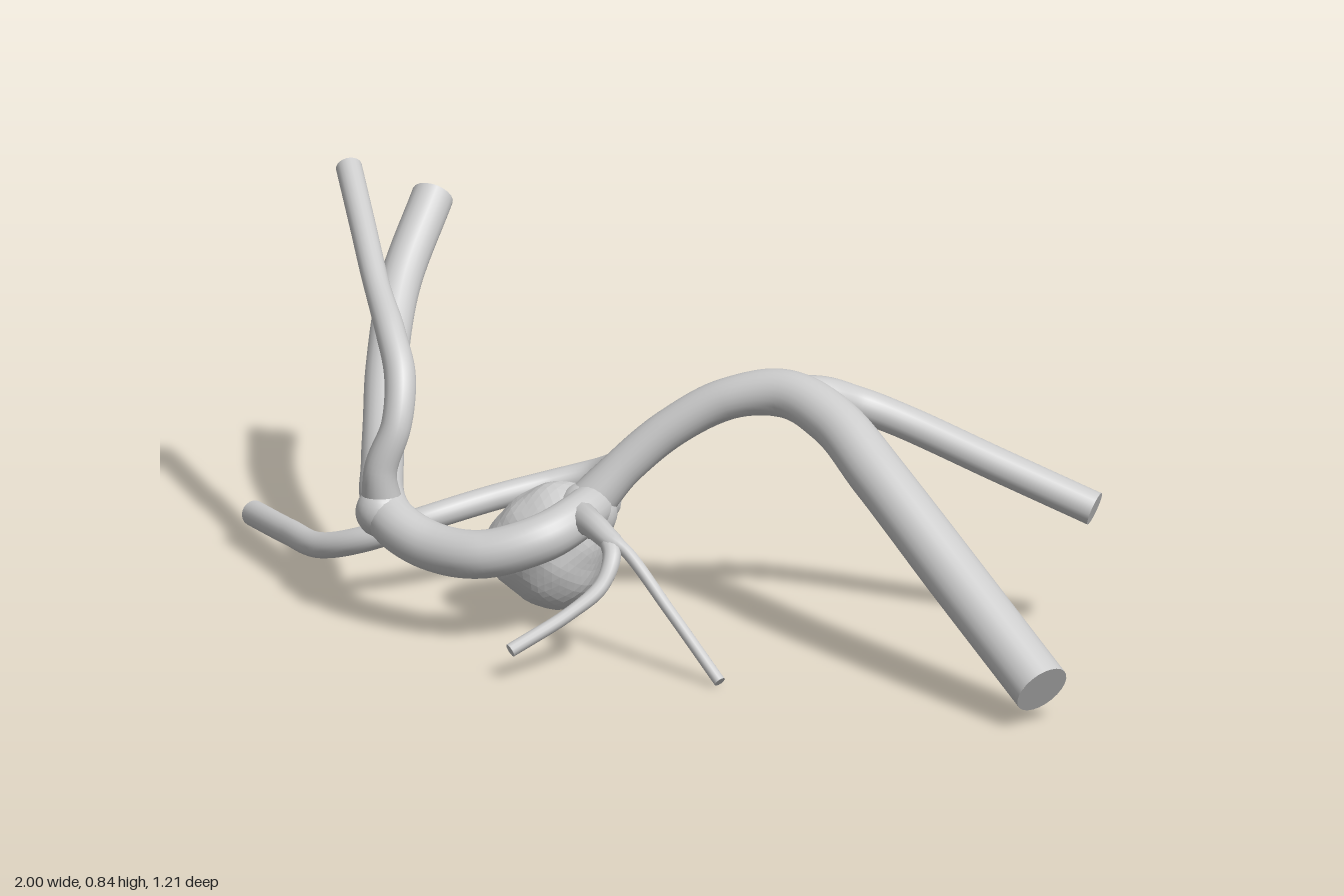
import * as THREE from 'three';
import { mergeGeometries } from 'three/addons/utils/BufferGeometryUtils.js';

const material = new THREE.MeshStandardMaterial({ color: 0xcccccc });
const faceted = new THREE.MeshStandardMaterial({ color: 0xcccccc, flatShading: true });

// Tapering vessel through points [x, y, z, radius], closed by flat end discs
function vessel(name, points, sides = 20) {
  const curve = new THREE.CatmullRomCurve3(points.map(p => new THREE.Vector3(p[0], p[1], p[2])), false, 'centripetal');
  const steps = points.length * 10, last = points.length - 1;
  const radiusAt = u => {
    const t = curve.getUtoTmapping(u) * last, i = Math.min(Math.floor(t), last - 1);
    return THREE.MathUtils.lerp(points[i][3], points[i + 1][3], THREE.MathUtils.smoothstep(t - i, 0, 1));
  };
  const tube = new THREE.TubeGeometry(curve, steps, 1, sides);
  const pos = tube.attributes.position, v = new THREE.Vector3();
  for (let i = 0; i <= steps; i++) {
    const centre = curve.getPointAt(i / steps), r = radiusAt(i / steps);
    for (let j = 0; j <= sides; j++) {
      const k = i * (sides + 1) + j;
      v.fromBufferAttribute(pos, k).sub(centre).multiplyScalar(r).add(centre);
      pos.setXYZ(k, v.x, v.y, v.z);
    }
  }
  const caps = [0, 1].map(u => {
    const cap = new THREE.CircleGeometry(radiusAt(u), sides);
    const outward = curve.getTangentAt(u).multiplyScalar(u ? 1 : -1);
    cap.applyQuaternion(new THREE.Quaternion().setFromUnitVectors(new THREE.Vector3(0, 0, 1), outward));
    const c = curve.getPointAt(u);
    return cap.translate(c.x, c.y, c.z);
  });
  const mesh = new THREE.Mesh(mergeGeometries([tube, ...caps]), material);
  mesh.name = name;
  return mesh;
}

// Ellipsoid pushed out or in around given directions: [x, y, z, amount, sharpness]
function lumpySac(name, centre, radii, bumps) {
  const geometry = new THREE.IcosahedronGeometry(1, 7);
  const pos = geometry.attributes.position, d = new THREE.Vector3();
  const dirs = bumps.map(b => new THREE.Vector3(b[0], b[1], b[2]).normalize());
  for (let i = 0; i < pos.count; i++) {
    d.fromBufferAttribute(pos, i).normalize();
    let s = 1 + 0.018 * Math.sin(7 * d.x + 2) * Math.sin(8 * d.y) + 0.015 * Math.sin(9 * d.z + 4 * d.x);
    bumps.forEach((b, k) => { s += b[3] * Math.exp(b[4] * (d.dot(dirs[k]) - 1)); });
    pos.setXYZ(i, centre[0] + d.x * s * radii[0], centre[1] + d.y * s * radii[1], centre[2] + d.z * s * radii[2]);
  }
  geometry.computeVertexNormals();
  const mesh = new THREE.Mesh(geometry, faceted);
  mesh.name = name;
  return mesh;
}

// Rounded swelling where vessels meet
function junction(name, x, y, z, r) {
  const mesh = new THREE.Mesh(new THREE.SphereGeometry(r, 20, 14), material);
  mesh.position.set(x, y, z);
  mesh.name = name;
  return mesh;
}

export function createModel() {
  const group = new THREE.Group();
  group.name = 'branchingVessel';
  group.add(
    // Wide trunk, arching over to the sac
    vessel('trunk', [
      [0.95, 0.088, 0.545, 0.062], [0.72, 0.257, 0.375, 0.062], [0.5, 0.42, 0.212, 0.06],
      [0.37, 0.5, 0.105, 0.056], [0.25, 0.53, 0.045, 0.052], [0.12, 0.505, 0.04, 0.045],
      [0, 0.435, 0.06, 0.043], [-0.09, 0.355, 0.09, 0.043], [-0.16, 0.275, 0.125, 0.05],
    ], 24),
    vessel('trunkSideBranch', [
      [0.24, 0.53, 0.05, 0.04], [0.32, 0.515, -0.005, 0.042], [0.39, 0.485, -0.052, 0.038],
      [0.48, 0.452, -0.066, 0.037], [0.69, 0.374, -0.061, 0.037], [0.905, 0.295, -0.056, 0.037],
    ]),
    // Main vessel sweeping round in front of the sac and back up
    vessel('sweepingVessel', [
      [-0.15, 0.27, 0.08, 0.05], [-0.165, 0.268, 0.2, 0.05], [-0.22, 0.243, 0.285, 0.052],
      [-0.34, 0.208, 0.323, 0.052], [-0.46, 0.205, 0.295, 0.053], [-0.56, 0.235, 0.245, 0.053],
      [-0.605, 0.265, 0.17, 0.048], [-0.64, 0.295, 0.04, 0.046], [-0.675, 0.345, -0.1, 0.044],
      [-0.7, 0.425, -0.22, 0.045], [-0.718, 0.55, -0.395, 0.045], [-0.695, 0.69, -0.58, 0.045],
    ]),
    vessel('sweepingVesselBranch', [
      [-0.59, 0.25, 0.22, 0.045], [-0.595, 0.34, 0.225, 0.036], [-0.565, 0.44, 0.205, 0.033],
      [-0.57, 0.53, 0.155, 0.034], [-0.61, 0.6, 0.08, 0.032], [-0.675, 0.663, -0.045, 0.028],
      [-0.745, 0.745, -0.19, 0.028], [-0.813, 0.825, -0.33, 0.028],
    ]),
    junction('branchSwelling', -0.592, 0.25, 0.225, 0.056),
    // Thin vessel looping behind the sac
    vessel('loopingVessel', [
      [-0.15, 0.29, 0.09, 0.04], [-0.125, 0.315, 0.01, 0.033], [-0.14, 0.3, -0.07, 0.03],
      [-0.21, 0.262, -0.112, 0.029], [-0.3, 0.237, -0.095, 0.028], [-0.41, 0.215, -0.03, 0.028],
      [-0.54, 0.185, 0.062, 0.028], [-0.66, 0.142, 0.097, 0.028], [-0.77, 0.105, 0.06, 0.028],
      [-0.87, 0.09, -0.052, 0.028], [-0.985, 0.077, -0.19, 0.028],
    ]),
    // Forked fine vessels at the front
    vessel('fineVesselStem', [
      [-0.17, 0.27, 0.2, 0.04], [-0.11, 0.276, 0.275, 0.028], [-0.058, 0.257, 0.318, 0.024],
      [-0.03, 0.246, 0.325, 0.014], [0.09, 0.136, 0.39, 0.013], [0.218, 0.015, 0.464, 0.013],
    ], 12),
    vessel('fineVesselFork', [
      [-0.075, 0.265, 0.305, 0.02], [-0.052, 0.235, 0.345, 0.02], [-0.065, 0.18, 0.39, 0.017],
      [-0.12, 0.132, 0.445, 0.015], [-0.225, 0.07, 0.535, 0.015],
    ], 12),
    // Irregular sac with its neck
    lumpySac('sac', [-0.25, 0.165, 0.11], [0.118, 0.128, 0.11], [
      [-1, -0.1, 0.25, 0.22, 6], [0.1, -1, -0.9, 0.22, 7], [0.3, -0.8, 0.5, 0.1, 6],
      [0.6, 0.9, 0.1, 0.25, 5], [0, 0.35, 1, 0.1, 5], [0, 0.5, -1, 0.14, 8],
      [0.3, -0.35, -1, -0.1, 12], [-0.8, 0.3, -0.8, -0.08, 10], [-0.8, -0.9, 0.1, -0.06, 8],
    ]),
    junction('sacNeck', -0.165, 0.255, 0.13, 0.066),
  );
  return group;
}
